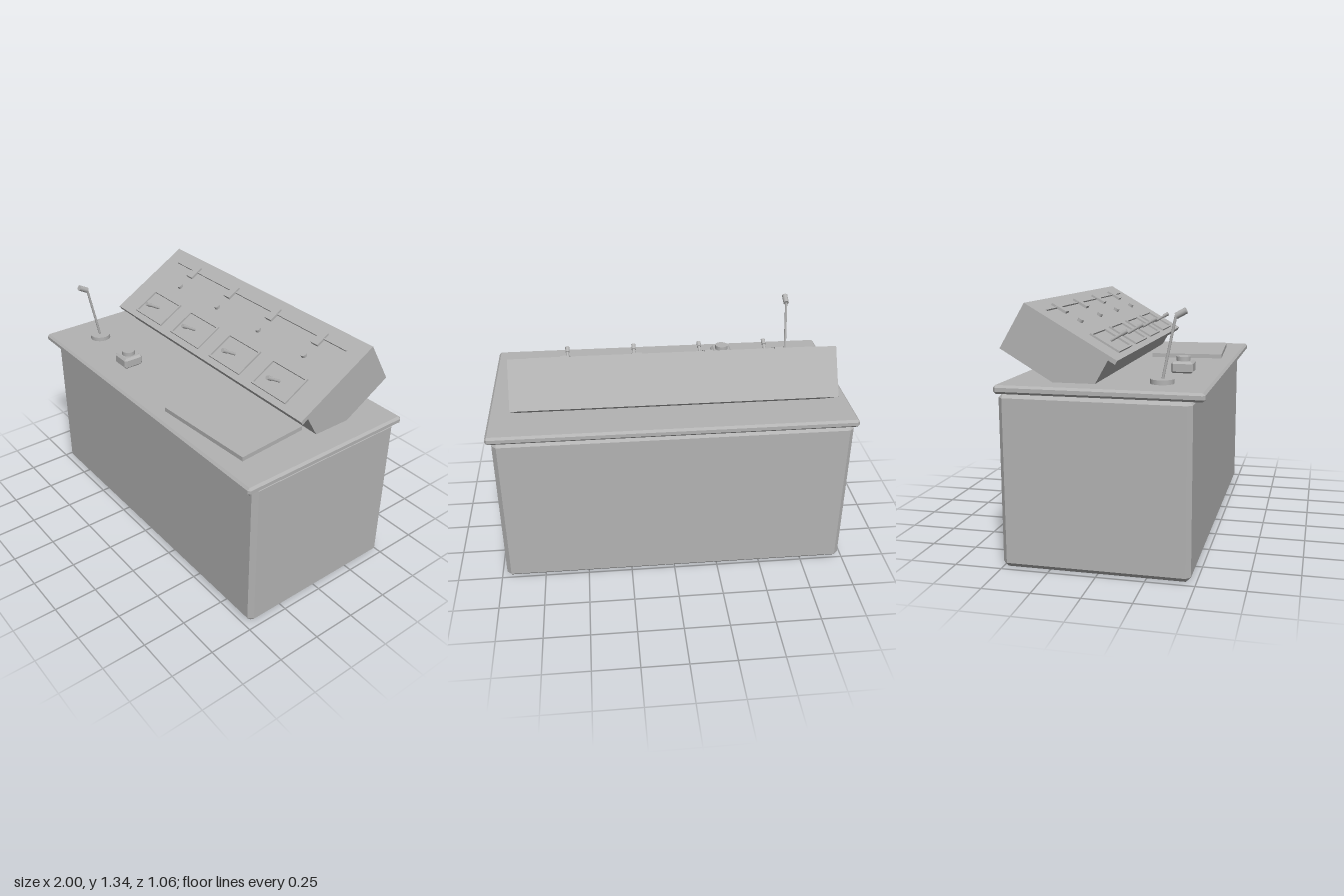
import * as THREE from 'three';
import { ConvexGeometry } from 'three/addons/geometries/ConvexGeometry.js';

const grey = new THREE.MeshStandardMaterial({ color: 0xb3b3b3 });
grey.name = 'grey';

function add(parent, name, geometry, x = 0, y = 0, z = 0) {
  const mesh = new THREE.Mesh(geometry, grey);
  mesh.name = name;
  mesh.position.set(x, y, z);
  parent.add(mesh);
  return mesh;
}

// Box with every edge cut at 45 degrees
function chamferBox(w, h, d, c) {
  const points = [];
  for (const x of [-1, 1]) for (const y of [-1, 1]) for (const z of [-1, 1]) {
    for (let axis = 0; axis < 3; axis++) {
      const cut = [c, c, c];
      cut[axis] = 0;
      points.push(new THREE.Vector3(x * (w / 2 - cut[0]), y * (h / 2 - cut[1]), z * (d / 2 - cut[2])));
    }
  }
  return new ConvexGeometry(points);
}

// Cylinder running between two points
function rod(parent, name, from, to, radius, sides = 16) {
  const a = new THREE.Vector3(...from), b = new THREE.Vector3(...to);
  const dir = b.clone().sub(a);
  const mesh = add(parent, name, new THREE.CylinderGeometry(radius, radius, dir.length(), sides));
  mesh.position.copy(a).add(b).multiplyScalar(0.5);
  mesh.quaternion.setFromUnitVectors(new THREE.Vector3(0, 1, 0), dir.normalize());
  return mesh;
}

export function createModel() {
  const model = new THREE.Group();
  model.name = 'controlDesk';
  const top = 0.949;

  // Desk
  add(model, 'deskBody', chamferBox(1.95, 0.907, 0.974, 0.025), -0.004, 0.4535, -0.014);
  add(model, 'deskTop', chamferBox(2, 0.044, 1.048, 0.012), 0, top - 0.022, 0.011);

  // Sloped console, extruded from its side profile (z, y)
  const profile = [[0.081, 1.067], [0.069, 1.047], [0.034, 1.068], [-0.034, top - 0.002],
    [-0.25, top - 0.002], [-0.529, 1.112], [-0.393, 1.341]];
  const shape = new THREE.Shape(profile.map(([z, y]) => new THREE.Vector2(-z, y)));
  const consoleGeometry = new THREE.ExtrudeGeometry(shape, { depth: 1.704, bevelEnabled: false });
  consoleGeometry.translate(0, 0, -0.852).rotateY(Math.PI / 2);
  add(model, 'consoleCase', consoleGeometry, -0.002);

  // Control panel frame: local y leaves the panel, local -z runs up the slope
  const panel = new THREE.Group();
  panel.name = 'controlPanel';
  panel.position.set(0, 1.067, 0.081);
  panel.rotation.x = Math.PI / 6;
  model.add(panel);

  const frameW = 0.273, frameD = 0.178, bar = 0.011;
  for (let i = 0; i < 4; i++) {
    const station = new THREE.Group();
    station.name = 'switchStation' + (i + 1);
    station.position.x = -0.564 + i * 0.3745;
    panel.add(station);
    // Raised rectangular rim
    for (const s of [-1, 1]) {
      add(station, 'frameRail', new THREE.BoxGeometry(frameW, 0.012, bar), 0, 0.004, -0.125 + s * (frameD - bar) / 2);
      add(station, 'frameStile', new THREE.BoxGeometry(bar, 0.012, frameD - 2 * bar), s * (frameW - bar) / 2, 0.004, -0.125);
    }
    // Toggle lever with a thicker grip
    rod(station, 'leverShaft', [0, 0, -0.127], [0, 0.07, -0.088], 0.008);
    rod(station, 'leverGrip', [0, 0.062, -0.093], [0, 0.09, -0.077], 0.012);
    // Indicator lamp
    add(station, 'indicatorLamp', new THREE.CylinderGeometry(0.016, 0.016, 0.02, 20), 0, 0.007, -0.319);
    // Clip on the rail
    add(station, 'clipUpper', new THREE.BoxGeometry(0.044, 0.012, 0.046), 0, 0.006, -0.469);
    add(station, 'clipLower', new THREE.BoxGeometry(0.052, 0.016, 0.046), 0, 0.006, -0.425);
  }
  add(panel, 'clipRail', new THREE.BoxGeometry(1.498, 0.01, 0.008), -0.002, 0.004, -0.457);

  // Microphone
  const mic = new THREE.Group();
  mic.name = 'microphone';
  mic.position.x = -0.76;
  model.add(mic);
  add(mic, 'micBase', new THREE.CylinderGeometry(0.06, 0.06, 0.026, 32), 0, top + 0.011, 0.286);
  rod(mic, 'micStem', [0, 0.965, 0.287], [0, 1.285, 0.352], 0.007);
  rod(mic, 'micHead', [0, 1.283, 0.353], [0, 1.311, 0.403], 0.016, 20);

  // Push button box
  add(model, 'buttonBox', chamferBox(0.118, 0.066, 0.118, 0.012), -0.369, top + 0.029, 0.324);
  add(model, 'buttonCap', new THREE.CylinderGeometry(0.038, 0.038, 0.03, 28), -0.369, 1.02, 0.324);

  // Flat pad lying slightly askew
  const pad = add(model, 'notePad', new THREE.BoxGeometry(0.606, 0.026, 0.42), 0.488, top + 0.011, 0.227);
  pad.rotation.y = 0.068;

  return model;
}
